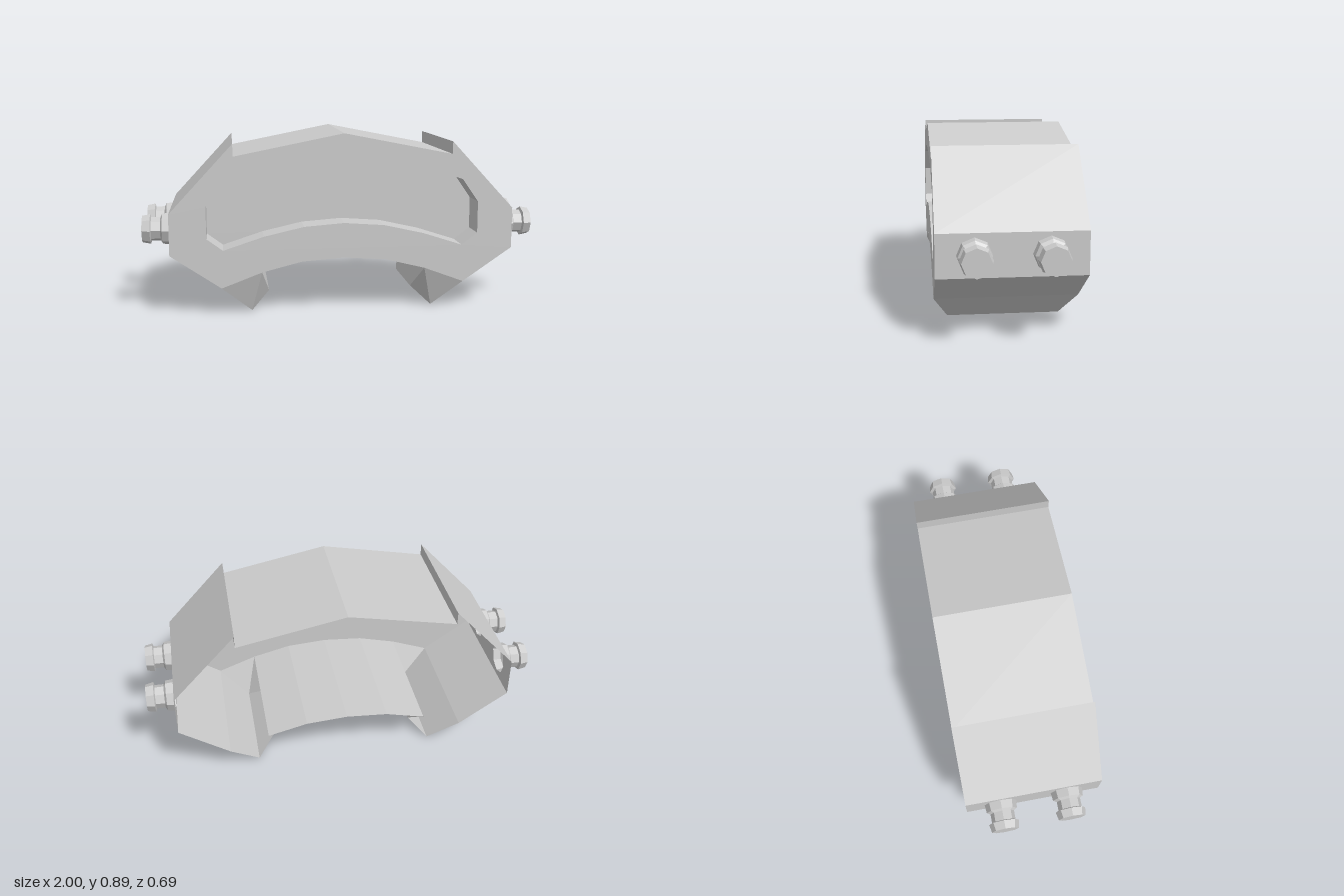
import * as THREE from 'three';

const D = 0.345;          // half depth of the housing
const RECESS_Z = 0.195;   // depth position of the recess floor
const BOLT_Y = 0.41, BOLT_Z = 0.17, WALL_X = 0.86;

const material = new THREE.MeshStandardMaterial({ color: 0xcccccc, flatShading: true, side: THREE.DoubleSide });

function add(parent, name, geometry) {
  const mesh = new THREE.Mesh(geometry, material);
  mesh.name = name;
  parent.add(mesh);
  return mesh;
}

function fromCorners(corners) {
  const g = new THREE.BufferGeometry();
  g.setAttribute('position', new THREE.Float32BufferAttribute(corners.flat(), 3));
  g.computeVertexNormals();
  return g;
}

// Walls along a path of [x, y, frontZ, backZ]; skip(a, b) leaves a segment open
function strip(points, skip = () => false) {
  const out = [];
  points.forEach((a, i) => {
    const b = points[(i + 1) % points.length];
    if (skip(a, b)) return;
    const af = [a[0], a[1], a[2]], ab = [a[0], a[1], a[3]];
    const bf = [b[0], b[1], b[2]], bb = [b[0], b[1], b[3]];
    out.push(af, ab, bb, af, bb, bf);
  });
  return fromCorners(out);
}

// Closes a right half outline (centre to centre) with its mirror image
function mirrored(half) {
  const left = half.slice(1, -1).reverse().map(([x, ...rest]) => [-x, ...rest]);
  return [...half, ...left];
}

const toShape = pts => new THREE.Shape(pts.map(p => new THREE.Vector2(p[0], p[1])));

export function createModel() {
  const model = new THREE.Group();
  model.name = 'archedHousing';

  // Right half of the outline, bottom centre to top centre, with half depth
  const arch = [0.41, 0.21, D], kink = [0.37, 0.08, 0.19], tip = [0.46, 0, 0.275], heel = [0.61, 0.135, D];
  const lower = [[0, 0.275, D], [0.21, 0.26, D], arch];
  const upper = [heel, [WALL_X, 0.305, D], [WALL_X, 0.51, D], [0.545, 0.85, D], [0.545, 0.787, D], [0, 0.895, D]];
  const shell = mirrored([...lower, kink, tip, ...upper]).map(([x, y, z]) => [x, y, z, -z]);
  const isSideWall = (a, b) => Math.abs(a[0]) === WALL_X && a[0] === b[0];
  add(model, 'shell', strip(shell, isSideWall));

  // Front plate with the curved recess cut out; the back stays open
  const recess = mirrored([
    [0, 0.45], [0.2, 0.435], [0.4, 0.39], [0.6, 0.325], [0.68, 0.385],
    [0.68, 0.545], [0.6, 0.66], [0.4, 0.725], [0.2, 0.745], [0, 0.75],
  ]);
  const plate = toShape(mirrored([...lower, ...upper]));
  plate.holes.push(toShape(recess));
  add(model, 'frontPlate', new THREE.ShapeGeometry(plate)).position.z = D;

  // Recess walls and floor
  const recessWalls = recess.slice().reverse().map(([x, y]) => [x, y, D, RECESS_Z]);
  add(model, 'recessWalls', strip(recessWalls));
  add(model, 'recessFloor', new THREE.ShapeGeometry(toShape(recess))).position.z = RECESS_Z;

  // Bolt profile [radius, distance from the wall]: flange, neck, head
  const profile = [[0.081, 0], [0.077, 0.04], [0.06, 0.05], [0.06, 0.095], [0.076, 0.1], [0.068, 0.14], [0, 0.14]]
    .map(([r, h]) => new THREE.Vector2(r, h));

  for (const s of [1, -1]) {
    const side = new THREE.Group();
    side.name = s > 0 ? 'leftSide' : 'rightSide';
    model.add(side);

    // Front of the tapered foot
    const foot = [arch, kink, tip, arch, tip, heel].map(([x, y, z]) => [s * x, y, z]);
    add(side, 'footFront', fromCorners(s > 0 ? foot : foot.reverse()));

    // Side wall with octagonal bolt holes
    const wall = toShape([[-D, 0.305], [D, 0.305], [D, 0.51], [-D, 0.51]]);
    for (const z of [BOLT_Z, -BOLT_Z]) {
      const hole = [];
      for (let i = 0; i < 8; i++) {
        const a = i * Math.PI / 4;
        hole.push([z + 0.081 * Math.cos(a), BOLT_Y + 0.081 * Math.sin(a)]);
      }
      wall.holes.push(toShape(hole));

      const bolt = add(side, 'bolt', new THREE.LatheGeometry(profile, 8));
      bolt.rotation.z = -s * Math.PI / 2;
      bolt.position.set(s * WALL_X, BOLT_Y, z);
    }
    const wallMesh = add(side, 'sideWall', new THREE.ShapeGeometry(wall));
    wallMesh.rotation.y = s * Math.PI / 2;
    wallMesh.position.x = s * WALL_X;
  }
  return model;
}
